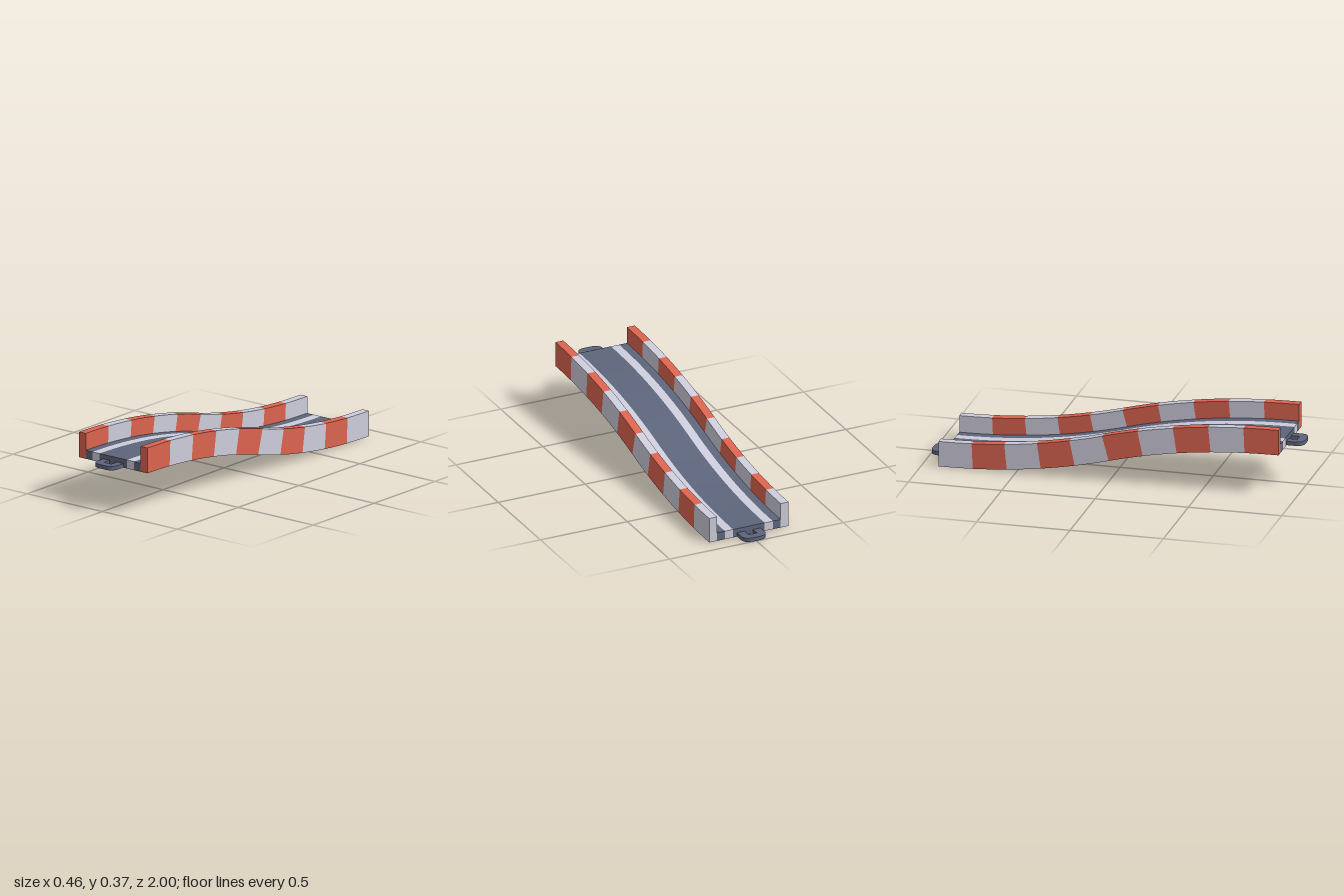
import * as THREE from 'three';

const HALF = 0.91, RISE = 0.1145, POW = 2.12;   // half length, half climb, bend sharpness
const SEGMENTS = 10, SUB = 4;
const WALL_IN = 0.183, WALL_OUT = 0.228, WALL_H = 0.137, DECK_H = 0.046;

const makeMaterial = (name, color) => {
  const m = new THREE.MeshStandardMaterial({ color });
  m.name = name;
  return m;
};

// Point at offset (x, h) on the cross-section standing square to the S-shaped ramp at t in -1..1
function rampPoint(t, x, h) {
  const a = 1 - Math.abs(t);
  const y = RISE * (1 + Math.sign(t) * (1 - Math.pow(a, POW)));
  const slope = RISE * POW * Math.pow(a, POW - 1) / HALF;
  const len = Math.hypot(1, slope);
  return [x, y + h / len, HALF * t - h * slope / len];
}

// Rectangular section swept along the ramp; only the listed faces are made, plus caps at the track ends
function sweep(x0, x1, h0, h1, faces, t0, t1, steps) {
  const edges = {
    top: [x0, h1, x1, h1], right: [x1, h1, x1, h0],
    bottom: [x1, h0, x0, h0], left: [x0, h0, x0, h1],
  };
  const pos = [], idx = [];
  for (const face of faces) {
    const [ax, ah, bx, bh] = edges[face];
    const base = pos.length / 3;
    for (let i = 0; i <= steps; i++) {
      const t = t0 + (t1 - t0) * i / steps;
      pos.push(...rampPoint(t, ax, ah), ...rampPoint(t, bx, bh));
      if (i < steps) {
        const k = base + i * 2;
        idx.push(k, k + 2, k + 3, k, k + 3, k + 1);
      }
    }
  }
  const cap = (t, order) => {
    const k = pos.length / 3;
    for (const [x, h] of [[x0, h0], [x1, h0], [x1, h1], [x0, h1]]) pos.push(...rampPoint(t, x, h));
    idx.push(...order.map((o) => k + o));
  };
  if (faces.includes('top')) {
    if (t1 > 0.999) cap(1, [0, 1, 2, 0, 2, 3]);
    if (t0 < -0.999) cap(-1, [0, 2, 1, 0, 3, 2]);
  }
  const g = new THREE.BufferGeometry();
  g.setAttribute('position', new THREE.Float32BufferAttribute(pos, 3));
  g.setIndex(idx);
  g.computeVertexNormals();
  return g;
}

// U-shaped coupling loop, lying flat and pointing along +z from z = 0
function couplingGeometry() {
  const w = 0.068, d = 0.09, r = 0.048, iw = 0.024, id = 0.046;
  const s = new THREE.Shape();
  s.moveTo(iw, 0);
  s.lineTo(w, 0);
  s.lineTo(w, d - r);
  s.quadraticCurveTo(w, d, w - r, d);
  s.lineTo(-w + r, d);
  s.quadraticCurveTo(-w, d, -w, d - r);
  s.lineTo(-w, 0);
  s.lineTo(-iw, 0);
  s.lineTo(-iw, id);
  s.lineTo(iw, id);
  s.closePath();
  const g = new THREE.ExtrudeGeometry(s, { depth: 0.021, bevelEnabled: false, curveSegments: 6 });
  return g.rotateX(Math.PI / 2).translate(0, 0.021, 0);
}

export function createModel() {
  const red = makeMaterial('barrier red', 0xdc6450);
  const white = makeMaterial('pale grey', 0xcdccdc);
  const asphalt = makeMaterial('asphalt', 0x5d657b);

  const model = new THREE.Group();
  model.name = 'rampTrack';
  const add = (parent, name, geometry, material) => {
    const mesh = new THREE.Mesh(geometry, material);
    mesh.name = name;
    parent.add(mesh);
    return mesh;
  };
  const group = (name) => {
    const g = new THREE.Group();
    g.name = name;
    model.add(g);
    return g;
  };

  // Striped side barriers and the striped underside
  const leftBarrier = group('leftBarrier');
  const rightBarrier = group('rightBarrier');
  const underside = group('underside');
  for (let i = 0; i < SEGMENTS; i++) {
    const t0 = -1 + 2 * i / SEGMENTS, t1 = -1 + 2 * (i + 1) / SEGMENTS;
    const mat = i % 2 ? red : white;
    const all = ['top', 'right', 'bottom', 'left'];
    add(leftBarrier, 'barrierBlock', sweep(WALL_IN, WALL_OUT, 0, WALL_H, all, t0, t1, SUB), mat);
    add(rightBarrier, 'barrierBlock', sweep(-WALL_OUT, -WALL_IN, 0, WALL_H, all, t0, t1, SUB), mat);
    add(underside, 'undersidePanel', sweep(-WALL_IN, WALL_IN, 0, DECK_H, ['bottom'], t0, t1, SUB), mat);
  }

  // Road deck in lanes, with two pale lines
  const deck = group('roadDeck');
  const xs = [-WALL_IN, -0.138, -0.091, 0.091, 0.138, WALL_IN];
  for (let i = 0; i < 5; i++) {
    const line = i % 2 === 1;
    add(deck, line ? 'laneLine' : 'roadLane',
      sweep(xs[i], xs[i + 1], 0, DECK_H, ['top'], -1, 1, SEGMENTS * SUB), line ? white : asphalt);
  }

  // Coupling loops at the high front and the low back
  const loop = couplingGeometry();
  add(model, 'frontCoupling', loop, asphalt).position.set(0, 2 * RISE + 0.001, HALF);
  const back = add(model, 'backCoupling', loop, asphalt);
  back.position.set(0, 0.001, -HALF);
  back.rotation.y = Math.PI;

  return model;
}
